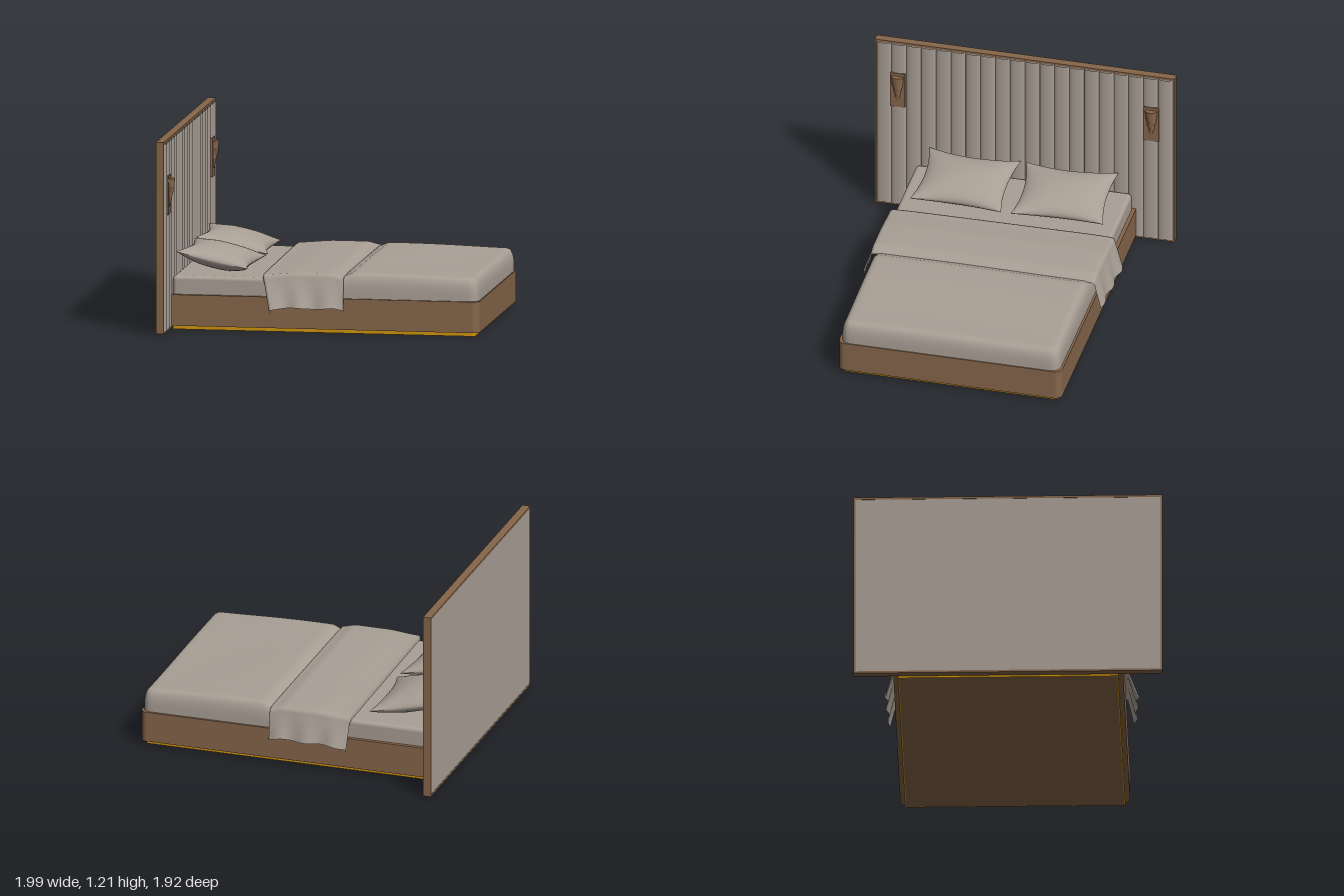
import * as THREE from 'three';
import { RoundedBoxGeometry } from 'three/addons/geometries/RoundedBoxGeometry.js';

const cloth = new THREE.MeshStandardMaterial({ name: 'greigeCloth', color: 0xa99f95, side: THREE.DoubleSide });
const wood = new THREE.MeshStandardMaterial({ name: 'walnut', color: 0x86664b });
const gold = new THREE.MeshStandardMaterial({ name: 'brass', color: 0xd0940f });

function add(parent, name, geometry, material, x = 0, y = 0, z = 0) {
  const mesh = new THREE.Mesh(geometry, material);
  mesh.name = name;
  mesh.position.set(x, y, z);
  parent.add(mesh);
  return mesh;
}

// Box given by its minimum and maximum corners
function box(parent, name, material, [x0, y0, z0], [x1, y1, z1]) {
  return add(parent, name, new THREE.BoxGeometry(x1 - x0, y1 - y0, z1 - z0), material,
    (x0 + x1) / 2, (y0 + y1) / 2, (z0 + z1) / 2);
}

// Grid surface over two lists of parameters
function sheet(us, vs, fn) {
  const pos = [], index = [], n = vs.length;
  us.forEach((u, i) => vs.forEach((v, j) => {
    pos.push(...fn(u, v));
    if (i && j) {
      const a = (i - 1) * n + j - 1, b = a + n;
      index.push(a, a + 1, b, b, a + 1, b + 1);
    }
  }));
  const g = new THREE.BufferGeometry();
  g.setAttribute('position', new THREE.Float32BufferAttribute(pos, 3));
  g.setIndex(index);
  g.computeVertexNormals();
  return g;
}

const range = (a, b, n) => Array.from({ length: n + 1 }, (_, i) => a + (b - a) * i / n);
const smooth = THREE.MathUtils.smoothstep;
const lerp = THREE.MathUtils.lerp;

// Plan outline with rounded corners at the foot end, extruded upward
function footRounded(x0, x1, hz, r, y0, y1, wall = 0) {
  const trace = (p, a, b, h, rad) => {
    p.moveTo(a, -h);
    p.lineTo(b - rad, -h);
    p.absarc(b - rad, -h + rad, rad, -Math.PI / 2, 0);
    p.absarc(b - rad, h - rad, rad, 0, Math.PI / 2);
    p.lineTo(a, h);
    p.closePath();
    return p;
  };
  const s = trace(new THREE.Shape(), x0, x1, hz, r);
  if (wall) s.holes.push(trace(new THREE.Path(), x0 + wall, x1 - wall, hz - wall, r - wall));
  const g = new THREE.ExtrudeGeometry(s, { depth: y1 - y0, bevelEnabled: false, curveSegments: 8 });
  return g.rotateX(-Math.PI / 2).translate(0, y0, 0);
}

function makeHeadboard() {
  const g = new THREE.Group();
  g.name = 'headboard';
  box(g, 'frameTop', wood, [-1, 1.195, -0.96], [-0.95, 1.21, 0.96]);
  box(g, 'frameBottom', wood, [-1, 0.007, -0.96], [-0.95, 0.02, 0.96]);
  for (const s of [-1, 1]) {
    add(g, 'frameSide', new THREE.BoxGeometry(0.05, 1.175, 0.012), wood, -0.975, 0.6075, s * 0.954);
  }
  box(g, 'backPanel', cloth, [-0.998, 0.02, -0.948], [-0.956, 1.195, 0.948]);
  // Upholstered vertical channels
  const count = 20, w = 1.896 / count;
  const channel = new THREE.CylinderGeometry(w / 2, w / 2, 1.175, 16, 1, true, 0, Math.PI).scale(0.3, 1, 1);
  for (let i = 0; i < count; i++) {
    add(g, 'channel', channel, cloth, -0.956, 0.6075, -0.948 + (i + 0.5) * w);
  }
  return g;
}

// Wall light: back plate with a cascade of tapering tiers
function makeSconce(z) {
  const g = new THREE.Group();
  g.name = 'wallLight';
  g.position.set(-0.945, 0, z);
  box(g, 'plate', wood, [-0.01, 0.74, -0.048], [0.008, 0.985, 0.048]);
  const tops = [0.965, 0.92, 0.895, 0.87, 0.845, 0.82];
  tops.forEach((y, i) => {
    const r = 0.041 - i * 0.0055, h = i ? 0.042 : 0.06;
    const tier = add(g, 'tier', new THREE.CylinderGeometry(r, r - 0.005, h, 24), wood, 0, y - h / 2, 0);
    tier.rotation.x = i ? (i % 2 ? 0.22 : -0.1) : 0;
  });
  return g;
}

// Plump cushion with pinched corners, tilted against the headboard
function makePillow(z, turn) {
  const g = new THREE.Group();
  g.name = 'pillow';
  g.position.set(-0.7, 0.415, z);
  g.rotation.set(0, turn, -0.21);
  const t = range(-Math.PI / 2, Math.PI / 2, 28).map(Math.sin);
  for (const side of [1, -1]) {
    const geo = sheet(t, t, (u, v) => {
      const puff = Math.pow(Math.max(0, (1 - u * u) * (1 - v * v)), 0.5);
      const crease = 0.004 * Math.sin(9 * u + 4 * v) * puff * (1 - puff);
      return [
        0.232 * u * (1 - 0.15 * (1 - v * v)),
        side * 0.075 * puff + crease + 0.012 * u * u * v * v,
        0.295 * v * (1 - 0.11 * (1 - u * u)),
      ];
    });
    add(g, side > 0 ? 'pillowTop' : 'pillowUnderside', geo, cloth);
  }
  return g;
}

// Soft cover, rounded at its edges and corners
function makeDuvet() {
  const x0 = -0.36, x1 = 0.985, hz = 0.7, r = 0.06, y0 = 0.215;
  const edge = [0, 0.0005, 0.002, 0.005, 0.01, 0.018, 0.028, 0.04, 0.06];
  const coords = (a, b, n) => [...edge.map(d => a + d), ...range(a + 0.06, b - 0.06, n).slice(1, -1),
    ...edge.map(d => b - d).reverse()];
  return sheet(coords(x0, x1, 40), coords(-hz, hz, 36), (x, z) => {
    const cx = THREE.MathUtils.clamp(x, x0 + r, x1 - r), cz = THREE.MathUtils.clamp(z, -hz + r, hz - r);
    const dx = x - cx, dz = z - cz, m = Math.max(Math.abs(dx), Math.abs(dz));
    const k = m > 0 ? m / Math.hypot(dx, dz) : 0;
    const t = m / r;
    const top = lerp(0.352, 0.38, smooth(x, 0.12, 0.2)) - 0.018 * smooth(x, 0.25, 0.95)
      + 0.002 * Math.sin(7 * x + 5 * z);
    return [cx + dx * k, y0 + (top - y0) * Math.pow(Math.max(0, 1 - t ** 3), 1 / 3), cz + dz * k];
  });
}

// Folded blanket across the bed, hanging over both sides
function makeBlanket() {
  const us = [0, 0.004, ...range(0.02, 0.98, 30), 0.996, 1];
  const vs = [...range(-1.3, -1, 14), ...range(-1, 1, 30).slice(1, -1), ...range(1, 1.3, 14)];
  return sheet(us, vs, (u, v) => {
    const s = Math.sign(v), hang = Math.max(0, Math.abs(v) - 1) / 0.3;
    const skew = s > 0 ? 0.055 * hang : 0.012 * hang;
    const x = lerp(-0.385 + 0.008 * (v + 1) + skew, 0.14 + 0.006 * v * hang, u);
    let top = 0.362 + 0.016 * smooth(u, 0, 0.45) - 0.018 * smooth(u, 0.82, 1);
    if (u === 0) top = 0.336;
    if (u === 1) top = 0.35;
    if (!hang) return [x, top - 0.004 * v ** 8, 0.695 * v];
    // Shoulder first, then an outward flare with loose folds
    const bend = Math.min(hang / 0.2, 1) * Math.PI / 2, fall = Math.max(0, (hang - 0.2) / 0.8);
    const fold = 0.009 * fall * Math.sin(u * 17 + s);
    const reach = s > 0 ? 0.07 : 0.058;
    return [
      x,
      top - 0.004 - 0.025 * (1 - Math.cos(bend)) - (s > 0 ? 0.185 : 0.17) * fall + 0.006 * fall * Math.sin(u * 8),
      s * (0.695 + 0.025 * Math.sin(bend) + reach * fall * (1 - 0.3 * u) + fold),
    ];
  });
}

export function createModel() {
  const bed = new THREE.Group();
  bed.name = 'bed';
  bed.add(makeHeadboard());
  for (const s of [-1, 1]) {
    bed.add(makeSconce(s * 0.812));
    bed.add(makePillow(s * 0.318, s * -0.03));
  }

  // Platform with a brass strip under it
  add(bed, 'platform', footRounded(-0.945, 0.992, 0.714, 0.045, 0.025, 0.22), wood);
  add(bed, 'plinth', footRounded(-0.932, 0.957, 0.677, 0.012, 0, 0.025), wood);
  add(bed, 'brassStrip', footRounded(-0.94, 0.965, 0.685, 0.02, 0, 0.025, 0.008), gold);

  // Bedding
  add(bed, 'mattress', new RoundedBoxGeometry(1.89, 0.14, 1.38, 4, 0.025), cloth, 0.005, 0.266, 0);
  add(bed, 'duvet', makeDuvet(), cloth);
  add(bed, 'blanket', makeBlanket(), cloth);
  return bed;
}
